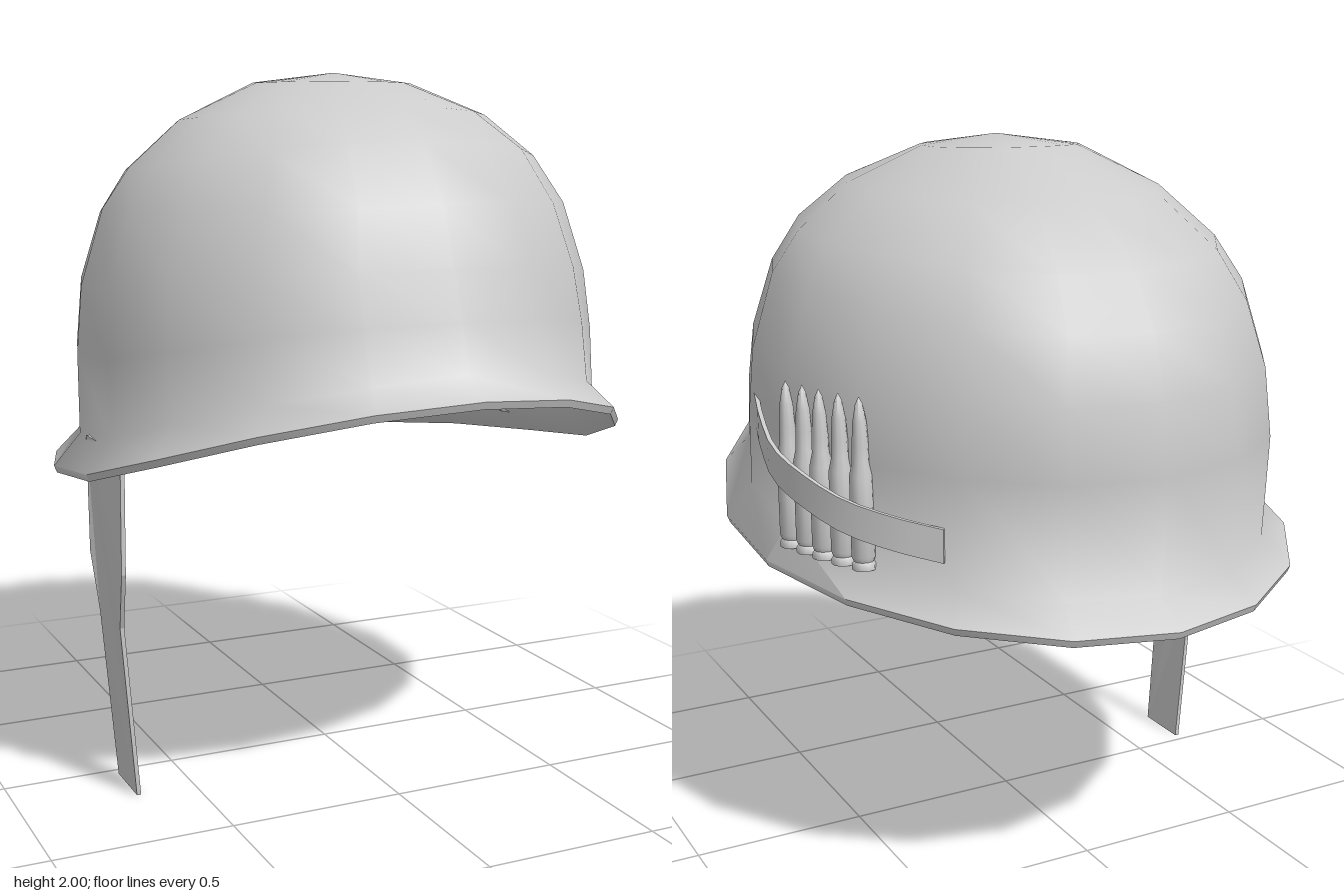
import * as THREE from 'three';
import { toCreasedNormals } from 'three/addons/utils/BufferGeometryUtils.js';

const material = new THREE.MeshStandardMaterial({ color: 0xcccccc });
const SIDES = 18;
const MID_Z = 0.06; // where every ring is widest

// Rings from crown to brim: half width, front z, back z, then y at front, side and back
const RINGS = [
  [0, MID_Z, MID_Z, 2, 2, 2],
  [0.22, 0.27, -0.22, 1.97, 1.97, 1.98],
  [0.44, 0.46, -0.47, 1.9, 1.87, 1.85],
  [0.58, 0.6, -0.69, 1.81, 1.74, 1.7],
  [0.655, 0.72, -0.79, 1.65, 1.63, 1.56],
  [0.72, 0.775, -0.84, 1.5, 1.41, 1.4],
  [0.735, 0.82, -0.87, 1.37, 1.22, 1.21],
  [0.735, 0.86, -0.845, 1.24, 1.0, 0.89],
  [0.81, 0.94, -0.94, 1.185, 0.905, 0.825],
];

function ringPoint([w, front, back, yFront, ySide, yBack], angle) {
  const c = Math.cos(angle);
  const reach = c > 0 ? front - MID_Z : MID_Z - back;
  const rise = (c > 0 ? yFront : yBack) - ySide;
  return [w * Math.sin(angle), ySide + rise * Math.abs(c) ** 1.3, MID_Z + c * reach];
}

// Outer skin down to the brim, round the lip and back up the inner skin
function shellGeometry() {
  const inset = ([w, f, b, ...ys], d) =>
    w === 0 ? [w, f, b, ...ys.map((y) => y - 0.02)] : [w - d, f - d, b + d, ...ys.map((y) => y - 0.02)];
  const inner = RINGS.map((ring, i) => inset(ring, i === RINGS.length - 1 ? 0.008 : 0.02)).reverse();
  const rings = [...RINGS, ...inner];
  const positions = [];
  const indices = [];
  rings.forEach((ring, i) => {
    for (let j = 0; j < SIDES; j++) {
      positions.push(...ringPoint(ring, (j / SIDES) * Math.PI * 2));
      if (i === rings.length - 1) continue;
      const k = (j + 1) % SIDES;
      const a = i * SIDES + j, b = a + SIDES, c = (i + 1) * SIDES + k, d = i * SIDES + k;
      if (i < rings.length - 2) indices.push(a, b, c);
      if (i > 0) indices.push(a, c, d);
    }
  });
  const geometry = new THREE.BufferGeometry();
  geometry.setAttribute('position', new THREE.Float32BufferAttribute(positions, 3));
  geometry.setIndex(indices);
  return toCreasedNormals(geometry, 1.1);
}

// Hanging strap: flat outline in z and y, bent sideways by height
function strapGeometry() {
  const outline = [[0, 1.0], [0.01, 0.67], [0.04, 0.5], [0.03, 0], [0.2, 0], [0.225, 0.5], [0.3, 0.67], [0.31, 1.0]];
  const shape = new THREE.Shape(outline.map(([z, y]) => new THREE.Vector2(z, y)));
  const geometry = new THREE.ExtrudeGeometry(shape, { depth: 0.012, bevelEnabled: false });
  geometry.rotateY(-Math.PI / 2);
  const p = geometry.attributes.position;
  for (let i = 0; i < p.count; i++) {
    const y = p.getY(i);
    p.setX(i, p.getX(i) - 0.66 - 0.062 * Math.min(1, y / 0.67));
  }
  geometry.computeVertexNormals();
  return geometry;
}

// Sloping band: a thin box wrapped along a curve
function bandGeometry() {
  const curve = new THREE.CatmullRomCurve3([
    [0.69, 1.275, 0.24], [0.745, 1.22, 0.03], [0.772, 1.17, -0.15], [0.745, 1.13, -0.29],
    [0.69, 1.09, -0.42], [0.6, 1.06, -0.53], [0.5, 1.035, -0.61],
  ].map((v) => new THREE.Vector3(...v)));
  const geometry = new THREE.BoxGeometry(1, 0.09, 0.012, 14, 1, 1);
  const p = geometry.attributes.position;
  for (let i = 0; i < p.count; i++) {
    const t = THREE.MathUtils.clamp(p.getX(i) + 0.5, 0, 1);
    const at = curve.getPoint(t);
    const along = curve.getTangent(t);
    const out = new THREE.Vector3(-along.z, 0, along.x).normalize();
    at.addScaledVector(out, p.getZ(i));
    p.setXYZ(i, at.x, at.y + p.getY(i), at.z);
  }
  return toCreasedNormals(geometry, 0.9);
}

export function createModel() {
  const group = new THREE.Group();
  const add = (name, geometry) => {
    const mesh = new THREE.Mesh(geometry, material);
    mesh.name = name;
    group.add(mesh);
    return mesh;
  };

  add('helmetShell', shellGeometry());
  add('chinStrap', strapGeometry());
  add('band', bandGeometry());

  // Cartridges held under the band
  const profile = [
    [0, 0], [0.032, 0], [0.032, 0.015], [0.027, 0.022], [0.032, 0.035], [0.031, 0.25],
    [0.023, 0.285], [0.022, 0.33], [0.018, 0.39], [0.01, 0.435], [0, 0.455],
  ].map(([r, y]) => new THREE.Vector2(r, y));
  const cartridge = toCreasedNormals(new THREE.LatheGeometry(profile, 10), 0.9);
  const places = [[0.735, -0.153], [0.715, -0.222], [0.695, -0.287], [0.668, -0.353], [0.638, -0.418]];
  places.forEach(([x, z], i) => {
    const mesh = add('cartridge' + (i + 1), cartridge);
    mesh.position.set(x, 0.94, z);
    mesh.rotation.x = 0.02;
  });

  return group;
}
